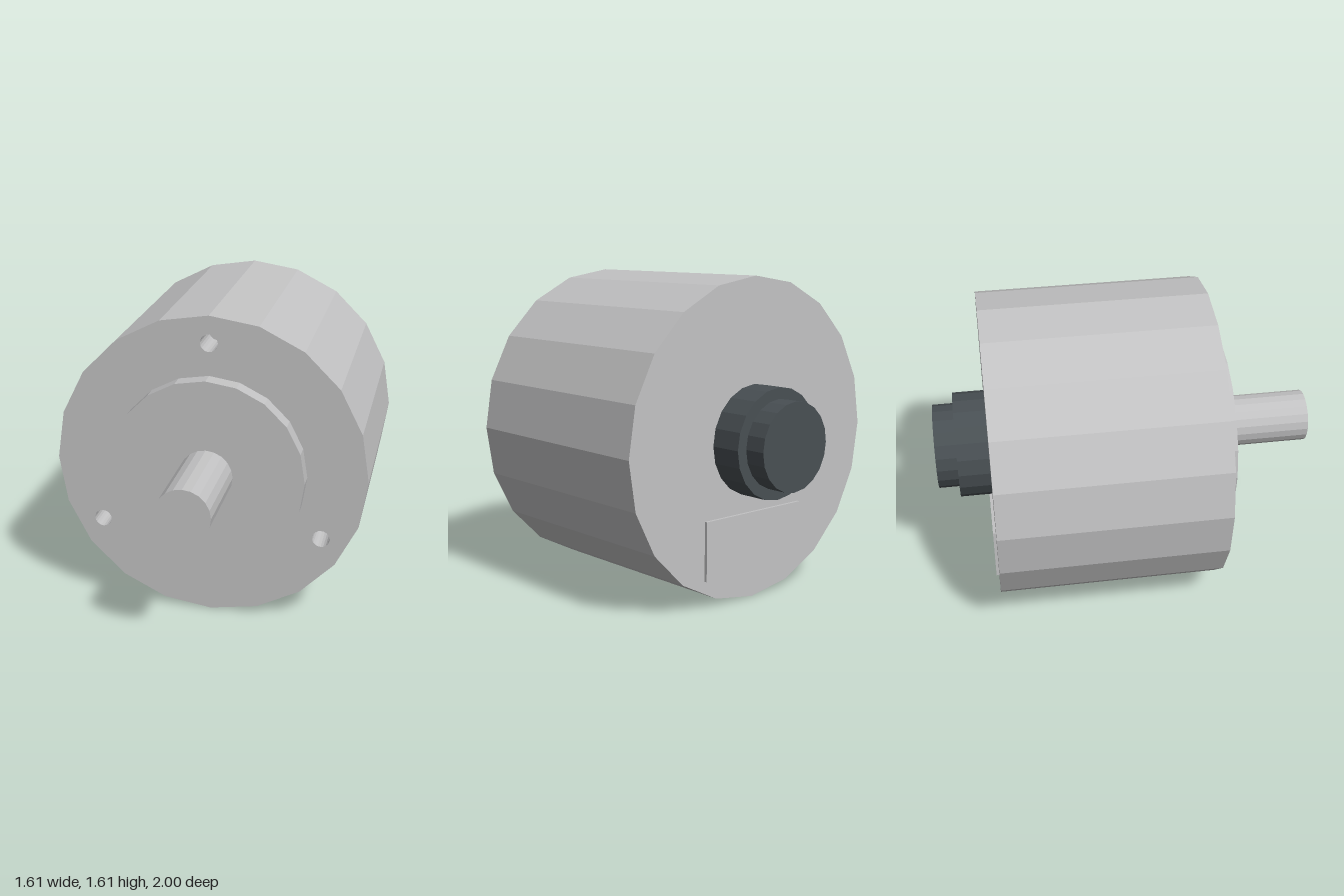
import * as THREE from 'three';

const SIDES = 20;
const AXIS_Y = 0.808;
const FRONT = 0.44, BACK = -0.725, HOLE_DEPTH = 0.2;
const BODY_R = 0.806;

export function createModel() {
  const model = new THREE.Group();
  model.name = 'rotaryEncoder';

  const metal = new THREE.MeshStandardMaterial({ color: 0xc2c2c3, flatShading: true });
  metal.name = 'brushed metal grey';
  const plastic = new THREE.MeshStandardMaterial({ color: 0x484f53, flatShading: true });
  plastic.name = 'dark connector grey';

  const add = (name, geometry, material, x, y, z) => {
    const mesh = new THREE.Mesh(geometry, material);
    mesh.name = name;
    mesh.position.set(x, y, z);
    model.add(mesh);
    return mesh;
  };

  // Faceted cylinder along z, between two depths
  const barrel = (name, radius, zBack, zFront, material) => {
    const geometry = new THREE.CylinderGeometry(radius, radius, zFront - zBack, SIDES);
    geometry.rotateX(Math.PI / 2);
    return add(name, geometry, material, 0, AXIS_Y, (zBack + zFront) / 2);
  };

  // Front part of the housing, with three blind mounting holes
  const outline = [];
  for (let i = 0; i < SIDES; i++) {
    const a = (i / SIDES) * Math.PI * 2;
    outline.push(new THREE.Vector2(Math.cos(a) * BODY_R, Math.sin(a) * BODY_R));
  }
  const face = new THREE.Shape(outline);
  for (let i = 0; i < 3; i++) {
    const a = Math.PI / 2 + (i / 3) * Math.PI * 2;
    const hole = new THREE.Path();
    hole.absarc(Math.cos(a) * 0.667, Math.sin(a) * 0.667, 0.045, 0, Math.PI * 2, true);
    face.holes.push(hole);
  }
  const flange = new THREE.ExtrudeGeometry(face, {
    depth: HOLE_DEPTH, bevelEnabled: false, curveSegments: 10,
  });
  add('housingFront', flange, metal, 0, AXIS_Y, FRONT - HOLE_DEPTH);

  // Rear part of the housing closes the holes
  barrel('housingRear', BODY_R, BACK, FRONT - HOLE_DEPTH, metal);

  // Centring boss and shaft
  barrel('centringBoss', 0.5, FRONT, 0.525, metal);
  barrel('shaft', 0.137, 0.525, 1, metal);

  // Stepped rear connector
  barrel('connectorBase', 0.278, -0.89, BACK, plastic);
  barrel('connectorCap', 0.222, -1, -0.89, plastic);

  // Blank rating plate on the back
  add('ratingPlate', new THREE.BoxGeometry(0.66, 0.3, 0.015), metal, 0, 0.295, BACK - 0.0075);

  return model;
}
